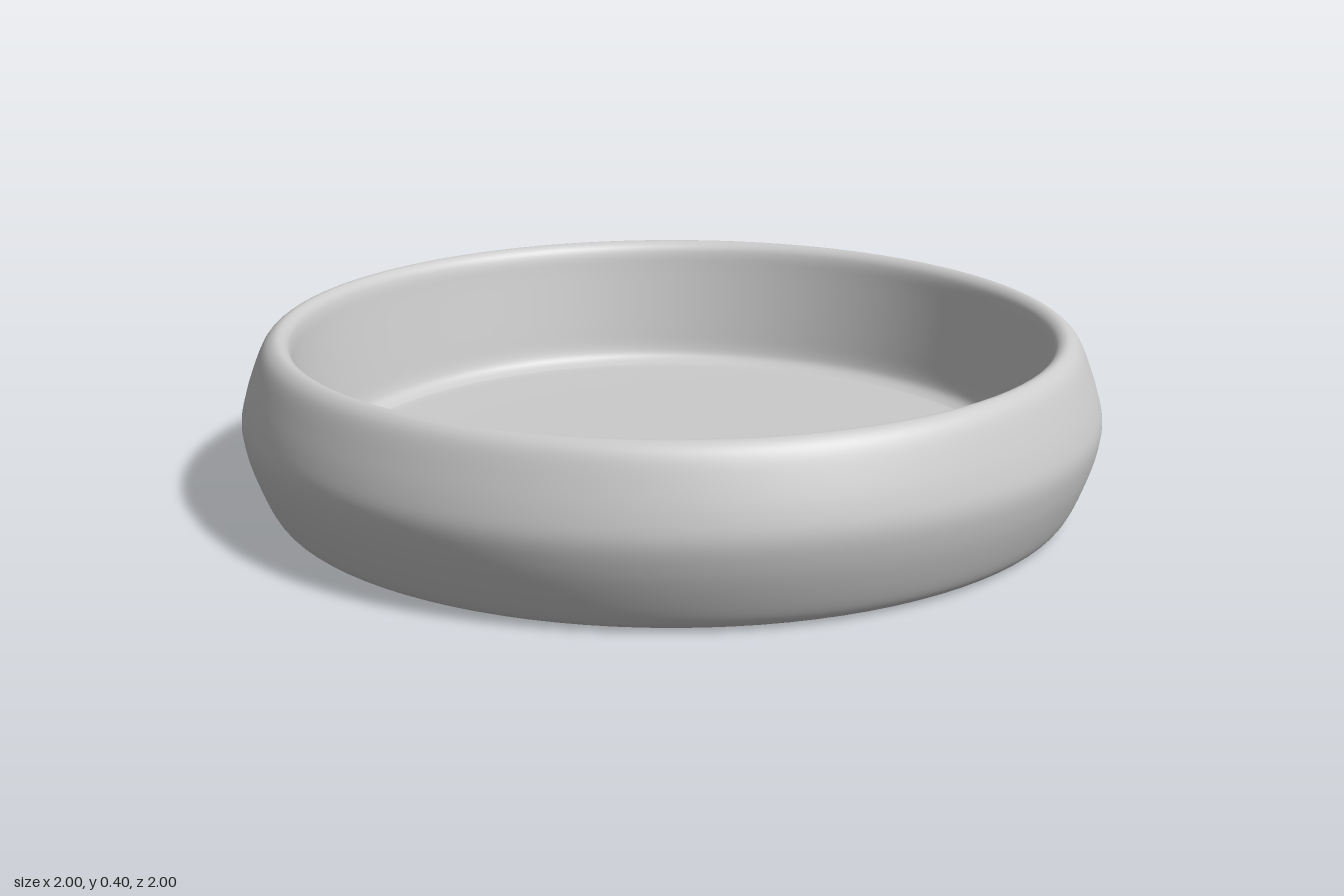
import * as THREE from 'three';

export function createModel() {
  const group = new THREE.Group();
  const material = new THREE.MeshStandardMaterial({ color: 0xcccccc });
  const v = (x, y) => new THREE.Vector2(x, y);

  // Bulging outer wall, rounded rim and sloping inner wall, as one smooth curve
  const wall = new THREE.SplineCurve([
    v(0.9, 0.002), v(0.925, 0.01), v(0.945, 0.034), v(0.97, 0.09), v(0.99, 0.15),
    v(1.0, 0.21), v(0.99, 0.265), v(0.97, 0.325), v(0.95, 0.373), v(0.932, 0.395),
    v(0.912, 0.403), v(0.893, 0.394), v(0.882, 0.372), v(0.873, 0.32),
    v(0.85, 0.19), v(0.838, 0.125), v(0.825, 0.1), v(0.8, 0.087),
  ]);

  // Full profile: flat underside, wall, flat floor
  const profile = [
    v(0, 0), v(0.6, 0), v(0.87, 0),
    ...wall.getPoints(68),
    v(0.77, 0.085), v(0.5, 0.085), v(0, 0.085),
  ];

  const dish = new THREE.Mesh(new THREE.LatheGeometry(profile, 96), material);
  dish.name = 'dish';
  group.add(dish);
  return group;
}
